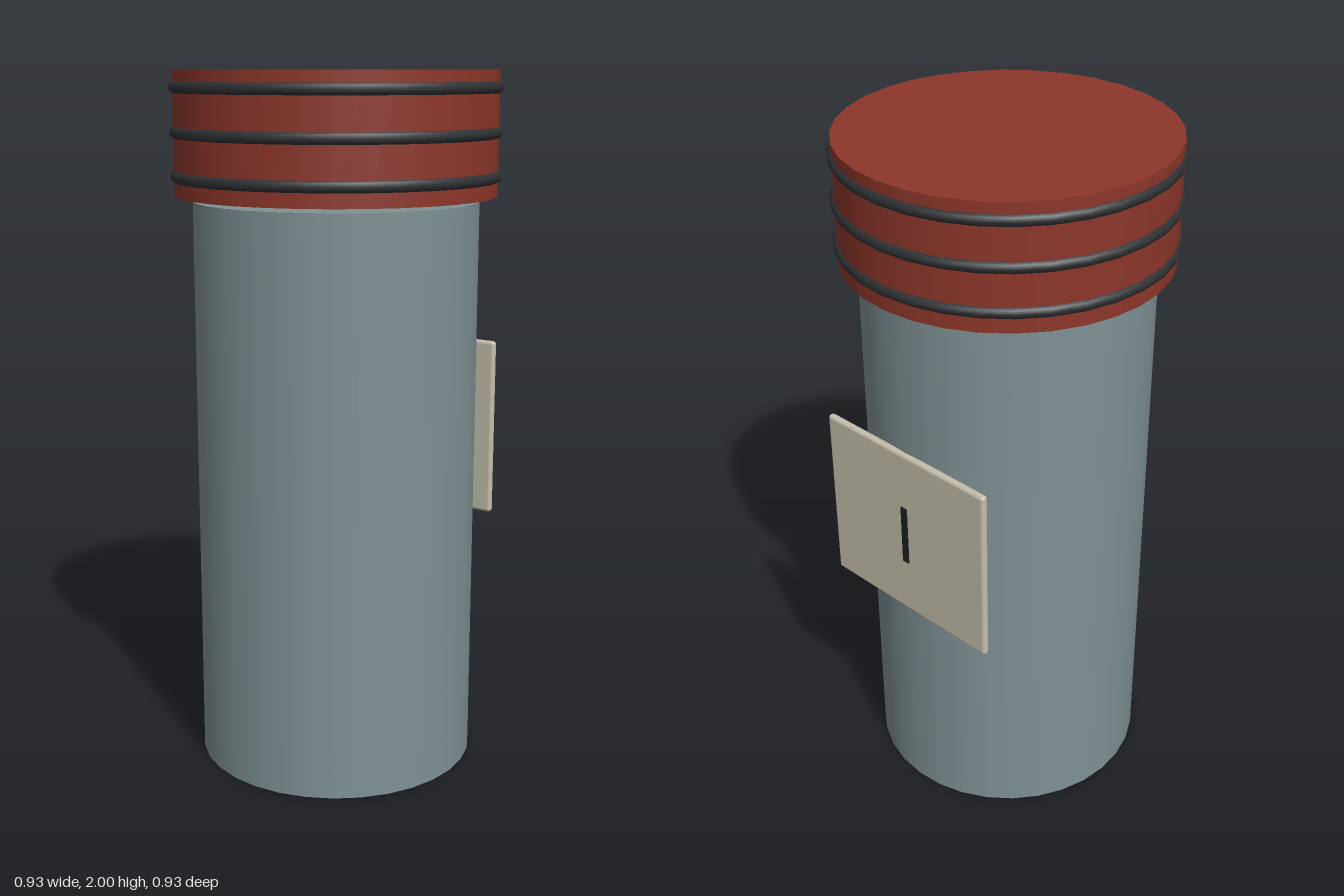
import * as THREE from 'three';
import { RoundedBoxGeometry } from 'three/addons/geometries/RoundedBoxGeometry.js';

const SIDES = 32;

function part(parent, name, geometry, color, x = 0, y = 0, z = 0) {
  const mesh = new THREE.Mesh(geometry, new THREE.MeshStandardMaterial({ color }));
  mesh.name = name;
  mesh.position.set(x, y, z);
  parent.add(mesh);
  return mesh;
}

export function createModel() {
  const model = new THREE.Group();
  model.name = 'canister';

  // Tall body, closed at both ends
  const bodyHeight = 1.642;
  part(model, 'body', new THREE.CylinderGeometry(0.405, 0.405, bodyHeight, SIDES), 0x7f9194, 0, bodyHeight / 2);

  // Wider lid floating just above the body
  const lid = new THREE.Group();
  lid.name = 'lid';
  model.add(lid);
  part(lid, 'lidDrum', new THREE.CylinderGeometry(0.455, 0.455, 0.343, SIDES), 0x8c362a, 0, 1.8285);

  // Three dark grip rings around the lid
  [1.712, 1.832, 1.953].forEach((y, i) => {
    const ring = part(lid, `gripRing${i + 1}`, new THREE.TorusGeometry(0.448, 0.0175, 10, SIDES), 0x2e3133, 0, y);
    ring.rotation.x = Math.PI / 2;
  });

  // Thin plate with a dark vertical slot on the back
  const plate = new THREE.Group();
  plate.name = 'backPlate';
  plate.position.set(0, 0.938, -0.407);
  model.add(plate);
  part(plate, 'platePanel', new RoundedBoxGeometry(0.6, 0.535, 0.0225, 3, 0.0105), 0xc4beaa);
  part(plate, 'plateSlot', new THREE.BoxGeometry(0.022, 0.185, 0.012), 0x1c1f22, 0, 0, -0.009);

  return model;
}
